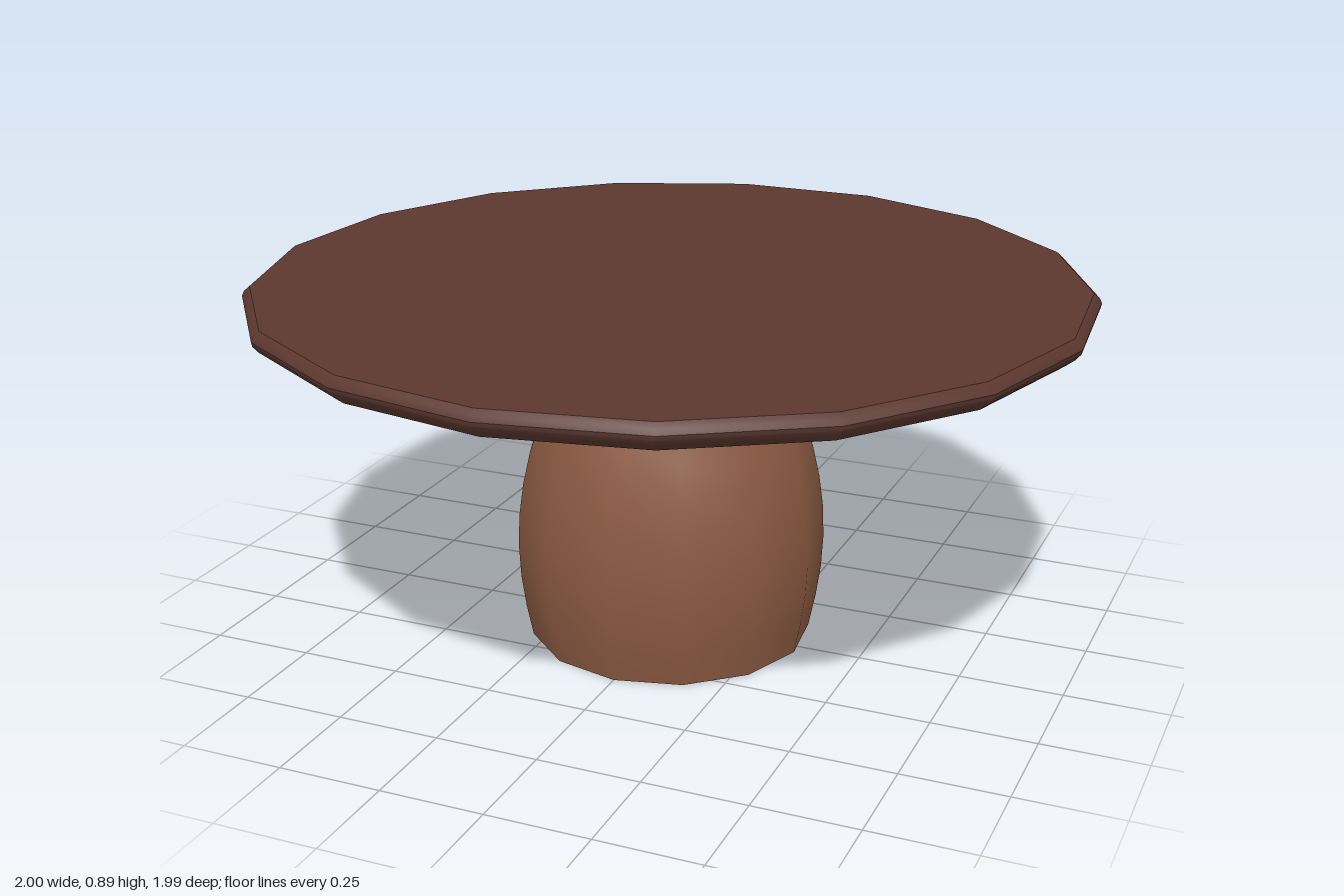
import * as THREE from 'three';
import { toCreasedNormals } from 'three/addons/utils/BufferGeometryUtils.js';

const topWood = new THREE.MeshStandardMaterial({ color: 0x5c3830 });
const baseWood = new THREE.MeshStandardMaterial({ color: 0x8b5a42 });

// Turned part from a bottom-to-top [radius, height] profile, closed at the axis
function turned(name, profile, sides, material) {
  const outline = [[0, profile[0][1]], ...profile, [0, profile[profile.length - 1][1]]];
  const points = outline.map(([r, y]) => new THREE.Vector2(r, y));
  const geometry = toCreasedNormals(new THREE.LatheGeometry(points, sides), 0.6);
  const mesh = new THREE.Mesh(geometry, material);
  mesh.name = name;
  return mesh;
}

export function createModel() {
  const table = new THREE.Group();
  table.name = 'roundTable';

  const turnedParts = new THREE.Group();
  turnedParts.name = 'turnedParts';
  // The odd-sided top is centred by its bounds
  turnedParts.position.z = -0.0085;
  table.add(turnedParts);

  // Bulging pedestal body
  turnedParts.add(turned('pedestalBody', [
    [0.347, 0], [0.363, 0.08], [0.374, 0.16], [0.378, 0.24], [0.375, 0.32],
    [0.364, 0.4], [0.346, 0.48], [0.326, 0.54], [0.3, 0.605],
  ], 13, baseWood));

  // Recessed neck
  turnedParts.add(turned('neck', [[0.275, 0.6], [0.275, 0.64]], 13, baseWood));

  // Rounded collar under the top
  turnedParts.add(turned('collar', [
    [0.3, 0.636], [0.322, 0.665], [0.341, 0.705], [0.351, 0.75], [0.351, 0.79], [0.345, 0.83],
  ], 13, baseWood));

  // Faceted tabletop with a rounded rim
  turnedParts.add(turned('tabletop', [
    [0.966, 0.829], [0.989, 0.847], [1.002, 0.862], [1.004, 0.872], [0.998, 0.884], [0.985, 0.895],
  ], 17, topWood));

  return table;
}
